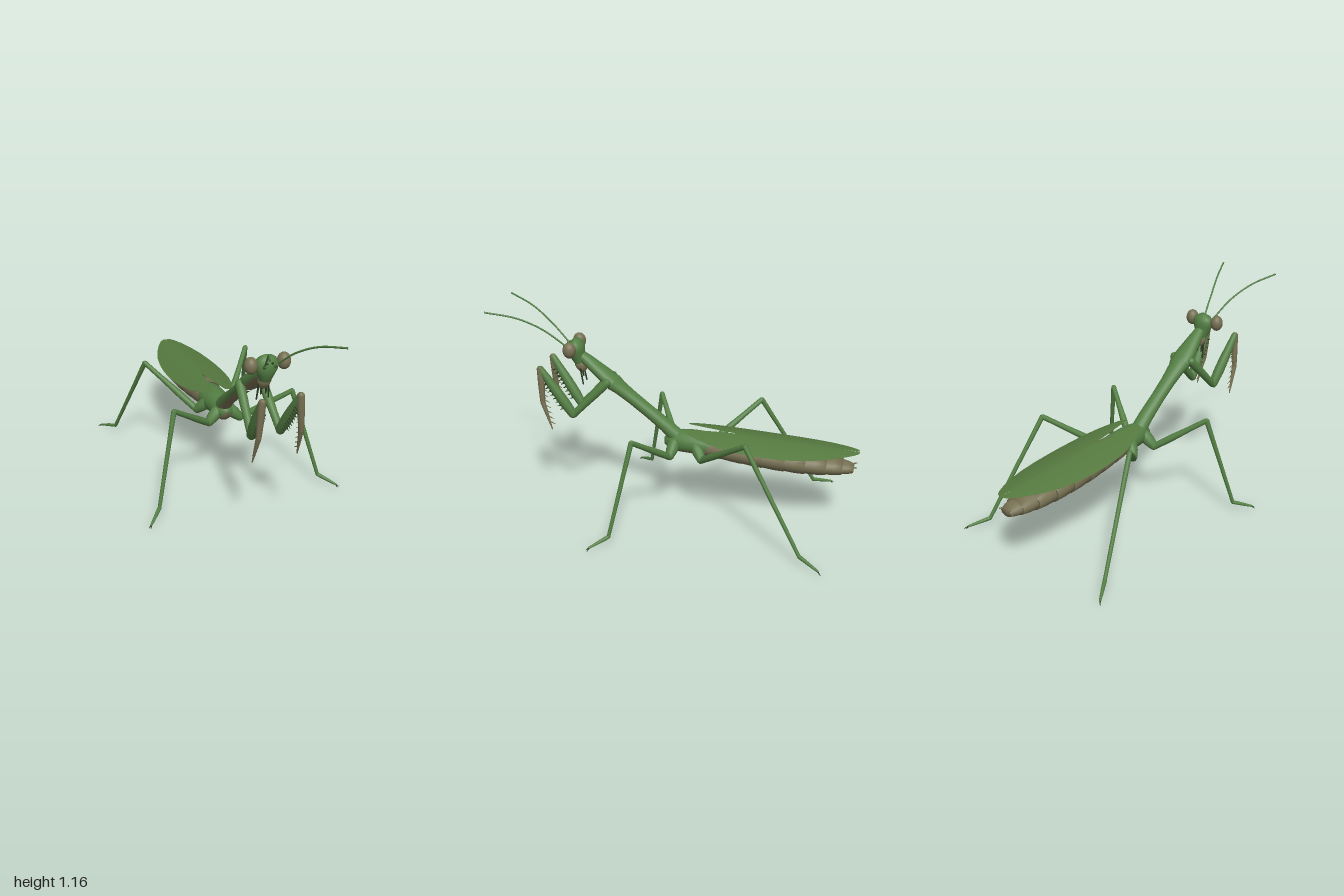
import * as THREE from 'three';

const mat = (name, color, side = THREE.FrontSide) => {
  const m = new THREE.MeshStandardMaterial({ color, side });
  m.name = name;
  return m;
};

export function createModel() {
  const model = new THREE.Group();
  model.name = 'mantis';
  const green = mat('leaf green', 0x547f44);
  const wingGreen = mat('wing green', 0x55793f, THREE.DoubleSide);
  const olive = mat('olive brown', 0x767052);
  const dark = mat('dark green', 0x2b3a22);

  const add = (name, geometry, material) => {
    const mesh = new THREE.Mesh(geometry, material);
    mesh.name = name;
    model.add(mesh);
    return mesh;
  };
  const V = (p) => new THREE.Vector3(...p);

  // Skin through elliptical sections [z, y, halfWidth, halfHeight] along a path in the yz plane;
  // the underside (below sin = belly) becomes the second material group.
  function loft(name, sections, materials, belly = -0.5, sides = 24) {
    const pos = [], top = [], bottom = [];
    sections.forEach(([z, y, rx, ry], i) => {
      const a = sections[Math.max(i - 1, 0)], b = sections[Math.min(i + 1, sections.length - 1)];
      const len = Math.hypot(b[0] - a[0], b[1] - a[1]);
      const tz = (b[0] - a[0]) / len, ty = (b[1] - a[1]) / len;
      for (let j = 0; j < sides; j++) {
        const t = (j / sides) * Math.PI * 2, s = Math.sin(t) * ry;
        pos.push(Math.cos(t) * rx, y + tz * s, z - ty * s);
      }
    });
    for (let i = 0; i < sections.length - 1; i++) {
      for (let j = 0; j < sides; j++) {
        const k = (j + 1) % sides, a = i * sides + j, b = i * sides + k;
        const list = Math.sin(((j + 0.5) / sides) * Math.PI * 2) < belly ? bottom : top;
        list.push(a, b, a + sides, b, b + sides, a + sides);
      }
    }
    const g = new THREE.BufferGeometry();
    g.setAttribute('position', new THREE.Float32BufferAttribute(pos, 3));
    g.setIndex([...top, ...bottom]);
    g.addGroup(0, top.length, 0);
    g.addGroup(top.length, bottom.length, 1);
    g.computeVertexNormals();
    return add(name, g, materials);
  }

  // Round-ended limb from a to b whose radii are spread evenly along it
  function limb(name, material, a, b, radii, sides = 14) {
    const A = V(a), d = V(b).sub(A), L = d.length(), n = radii.length - 1;
    const r0 = radii[0], r1 = radii[n];
    const profile = [[0, -r0 * 0.8], [r0 * 0.65, -r0 * 0.6]];
    radii.forEach((r, i) => profile.push([r, (L * i) / n]));
    profile.push([r1 * 0.65, L + r1 * 0.6], [0, L + r1 * 0.8]);
    const g = new THREE.LatheGeometry(profile.map((p) => new THREE.Vector2(...p)), sides);
    const mesh = add(name, g, material);
    mesh.quaternion.setFromUnitVectors(new THREE.Vector3(0, 1, 0), d.normalize());
    mesh.position.copy(A);
    return mesh;
  }

  function ball(name, material, p, r, scale = [1, 1, 1]) {
    const mesh = add(name, new THREE.SphereGeometry(r, 24, 16), material);
    mesh.position.set(...p);
    mesh.scale.set(...scale);
    return mesh;
  }

  // Raised slender thorax with a collar, and the broad rear thorax
  loft('pronotum', [
    [-0.02, 0.44, 0.045, 0.045], [0.06, 0.517, 0.043, 0.037], [0.15, 0.588, 0.04, 0.034],
    [0.25, 0.666, 0.043, 0.034], [0.32, 0.72, 0.052, 0.037], [0.355, 0.748, 0.065, 0.044],
  ], [green, olive]);
  loft('collar', [
    [0.34, 0.737, 0.06, 0.036], [0.36, 0.752, 0.063, 0.041], [0.4, 0.785, 0.06, 0.038],
    [0.45, 0.825, 0.049, 0.035], [0.5, 0.865, 0.038, 0.032], [0.545, 0.9, 0.028, 0.025],
  ], [green, olive]);
  loft('rearThorax', [
    [-0.27, 0.425, 0.07, 0.055], [-0.18, 0.43, 0.078, 0.063], [-0.1, 0.435, 0.075, 0.065],
    [-0.03, 0.435, 0.063, 0.064], [0.025, 0.432, 0.05, 0.054], [0.055, 0.44, 0.032, 0.036],
    [0.068, 0.446, 0.001, 0.001],
  ], [green, olive]);

  // Overlapping abdomen rings, each flaring toward its rear rim
  const ends = [-0.15, -0.26, -0.38, -0.49, -0.61, -0.72, -0.83, -0.915, -0.975];
  const widths = [0.075, 0.09, 0.102, 0.108, 0.108, 0.102, 0.086, 0.064, 0.036];
  const heights = [0.06, 0.063, 0.068, 0.071, 0.07, 0.066, 0.054, 0.04, 0.023];
  const centreY = (z) => 0.437 + z * 0.07;
  for (let i = 0; i < 8; i++) {
    const z0 = ends[i + 1], z1 = ends[i];
    const w = widths[i + 1], h = heights[i + 1];
    loft(`abdomenRing${i + 1}`, [
      [z0 + 0.012, centreY(z0), 0.001, 0.001], [z0 + 0.003, centreY(z0), w * 0.93, h * 0.93],
      [z0, centreY(z0), w, h], [(z0 + z1) / 2, centreY((z0 + z1) / 2), (w + widths[i]) / 2, (h + heights[i]) / 2],
      [z1 + 0.01, centreY(z1), widths[i] * 0.94, heights[i] * 0.94],
    ], [olive, olive]);
  }

  // Triangular head narrowing to the mouth
  loft('head', [
    [0.55, 0.984, 0.001, 0.001], [0.553, 0.98, 0.028, 0.02], [0.557, 0.966, 0.05, 0.036],
    [0.56, 0.942, 0.062, 0.044], [0.56, 0.915, 0.058, 0.045], [0.553, 0.885, 0.044, 0.04],
    [0.542, 0.855, 0.033, 0.033], [0.535, 0.835, 0.028, 0.028],
  ], [green, green]);
  loft('mouth', [
    [0.545, 0.862, 0.026, 0.028], [0.54, 0.845, 0.035, 0.034], [0.532, 0.822, 0.031, 0.029],
    [0.526, 0.803, 0.02, 0.018], [0.524, 0.797, 0.001, 0.001],
  ], [olive, olive]);
  ball('middleEyelet', dark, [0, 0.966, 0.594], 0.005);

  // Wing outline: [z, inner x, outer x]
  const wingRows = [
    [-0.06, 0.04, 0.066], [-0.08, 0.035, 0.08], [-0.14, 0.025, 0.108], [-0.2, 0.016, 0.13],
    [-0.28, 0.006, 0.149], [-0.34, 0, 0.157], [-0.45, 0, 0.164], [-0.55, 0, 0.163],
    [-0.65, 0, 0.154], [-0.75, 0, 0.137], [-0.84, 0, 0.11], [-0.92, 0, 0.076],
    [-0.97, 0.001, 0.048], [-0.99, 0.002, 0.032], [-1, 0.006, 0.018],
  ];
  function wing(s) {
    const g = new THREE.PlaneGeometry(1, 1, 10, wingRows.length - 1);
    const p = g.attributes.position;
    wingRows.forEach(([z, xi, xo], i) => {
      for (let j = 0; j <= 10; j++) {
        const x = xi + ((xo - xi) * j) / 10;
        const y = 0.523 + (z + 0.06) * 0.057 - 0.04 * Math.pow(x / 0.163, 1.7);
        p.setXYZ(i * 11 + j, s * x, y, z);
      }
    });
    g.computeVertexNormals();
    add(s > 0 ? 'leftWing' : 'rightWing', g, wingGreen);
  }

  for (const s of [1, -1]) {
    const side = s > 0 ? 'left' : 'right';
    const P = (x, y, z) => [s * x, y, z];
    wing(s);

    // Eyes, eyelets, antennae, mouth feelers and tail feelers
    ball(`${side}Eye`, olive, P(0.087, 0.945, 0.572), 0.04, [0.85, 1.1, 0.9]);
    ball(`${side}Eyelet`, dark, P(0.014, 0.954, 0.601), 0.006);
    limb(`${side}AntennaBase`, green, P(0.026, 0.93, 0.59), P(0.032, 0.95, 0.62), [0.009, 0.007]);
    const path = new THREE.CatmullRomCurve3([
      P(0.028, 0.938, 0.6), P(0.07, 1.046, 0.725), P(0.123, 1.117, 0.85), P(0.188, 1.159, 0.998),
    ].map(V));
    add(`${side}Antenna`, new THREE.TubeGeometry(path, 28, 0.0048, 8), green);
    limb(`${side}OuterFeeler`, dark, P(0.026, 0.83, 0.535), P(0.032, 0.735, 0.52), [0.006, 0.005, 0.004], 8);
    limb(`${side}InnerFeeler`, dark, P(0.012, 0.82, 0.54), P(0.014, 0.765, 0.53), [0.005, 0.004], 8);
    limb(`${side}TailFeeler`, olive, P(0.018, 0.38, -0.95), P(0.03, 0.388, -0.99), [0.006, 0.003], 8);

    // Grasping foreleg
    const shoulder = P(0.06, 0.765, 0.375), elbow = P(0.078, 0.565, 0.57);
    const wrist = P(0.1, 0.832, 0.74), hook = P(0.121, 0.485, 0.682);
    limb(`${side}ForeCoxa`, green, shoulder, elbow, [0.025, 0.024, 0.021, 0.02]);
    limb(`${side}ForeFemur`, green, elbow, wrist, [0.024, 0.029, 0.028, 0.023, 0.018]);
    limb(`${side}ForeTibia`, olive, wrist, P(0.112, 0.64, 0.732), [0.019, 0.018, 0.014]);
    limb(`${side}ForeTibiaTip`, olive, P(0.112, 0.64, 0.732), hook, [0.014, 0.009, 0.003]);
    for (let i = 0; i < 9; i++) {
      const t = 0.15 + i * 0.09;
      const a = V(wrist).lerp(V(hook), t);
      a.z += 0.018 * Math.sin(t * Math.PI);
      const b = a.clone().add(new THREE.Vector3(-s * 0.006, -0.018, -0.034));
      limb(`${side}TibiaSpine`, olive, a.toArray(), b.toArray(), [0.005, 0.001], 6);
      // Two rows of femur spines facing the tibia
      const c = V(elbow).lerp(V(wrist), 0.18 + i * 0.075);
      for (const dx of [-0.014, 0.008]) {
        const e = c.clone().add(new THREE.Vector3(dx * s, -0.01, 0.018));
        const f = e.clone().add(new THREE.Vector3(0, -0.008, 0.022));
        limb(`${side}FemurSpine`, dark, e.toArray(), f.toArray(), [0.004, 0.0015], 6);
      }
    }

    // Walking legs: [name, body, hip, knee, ankle, toe]
    const legs = [
      ['Middle', [0.035, 0.43, 0.005], [0.095, 0.373, 0.02], [0.342, 0.558, 0.165], [0.47, 0.053, 0.265], [0.543, 0.018, 0.35]],
      ['Hind', [0.045, 0.43, -0.12], [0.098, 0.373, -0.16], [0.315, 0.588, -0.428], [0.43, 0.05, -0.742], [0.495, 0.018, -0.845]],
    ];
    for (const [name, ...joints] of legs) {
      const [body, hip, knee, ankle, toe] = joints.map((j) => P(...j));
      limb(`${side}${name}Coxa`, green, body, hip, [0.036, 0.033, 0.024]);
      limb(`${side}${name}Femur`, green, hip, knee, [0.019, 0.019, 0.015, 0.014]);
      limb(`${side}${name}Tibia`, green, knee, ankle, [0.014, 0.012, 0.011, 0.01]);
      limb(`${side}${name}Foot`, green, ankle, toe, [0.011, 0.009, 0.006]);
      for (const k of [-1, 1]) {
        const dz = Math.sign(toe[2]) * 0.012;
        const tip = [toe[0] + s * (0.01 + k * 0.006), 0.005, toe[2] + dz - k * 0.004];
        limb(`${side}${name}Claw`, dark, toe, tip, [0.004, 0.0015], 6);
      }
    }
  }
  return model;
}
